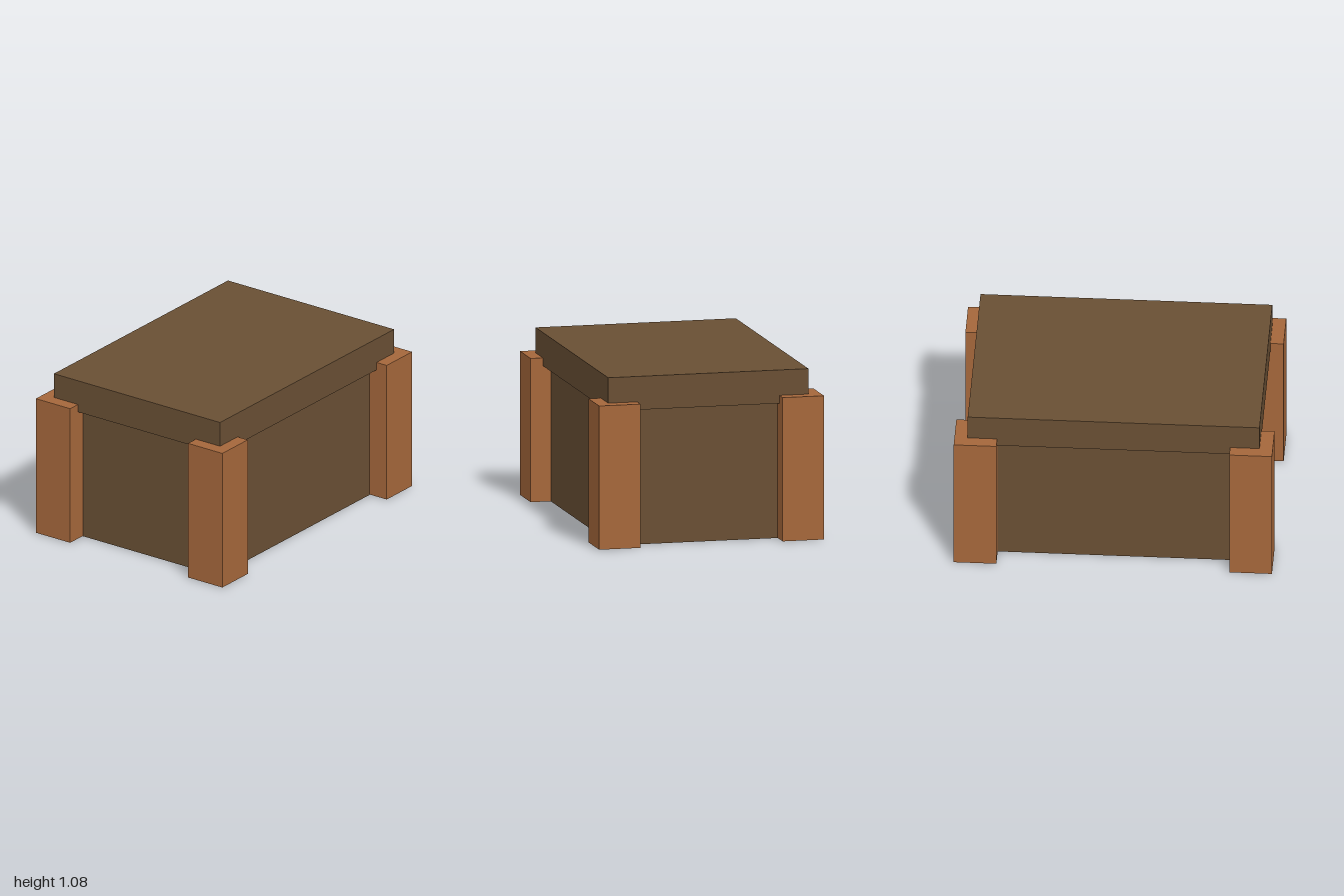
import * as THREE from 'three';

export function createModel() {
  const model = new THREE.Group();
  const darkWood = new THREE.MeshStandardMaterial({ color: 0x694f34 });
  darkWood.name = 'dark wood';
  const postWood = new THREE.MeshStandardMaterial({ color: 0xa5673b });
  postWood.name = 'reddish wood';

  // Box spanning y0 to y1, centred on x and z
  const addBox = (name, material, width, depth, y0, y1, x = 0, z = 0) => {
    const mesh = new THREE.Mesh(new THREE.BoxGeometry(width, y1 - y0, depth), material);
    mesh.name = name;
    mesh.position.set(x, (y0 + y1) / 2, z);
    model.add(mesh);
  };

  // Chest body and overhanging lid
  addBox('body', darkWood, 1.73, 1.19, 0, 0.87);
  addBox('lid', darkWood, 1.834, 1.297, 0.867, 1.08);

  // Corner posts, centred on the body corners
  const post = 0.268;
  for (const [sideName, sx] of [['Left', 1], ['Right', -1]]) {
    for (const [endName, sz] of [['front', 1], ['back', -1]]) {
      addBox(`${endName}${sideName}Post`, postWood, post, post, 0.002, 0.918,
        sx * (1 - post / 2), sz * (0.728 - post / 2));
    }
  }
  return model;
}
